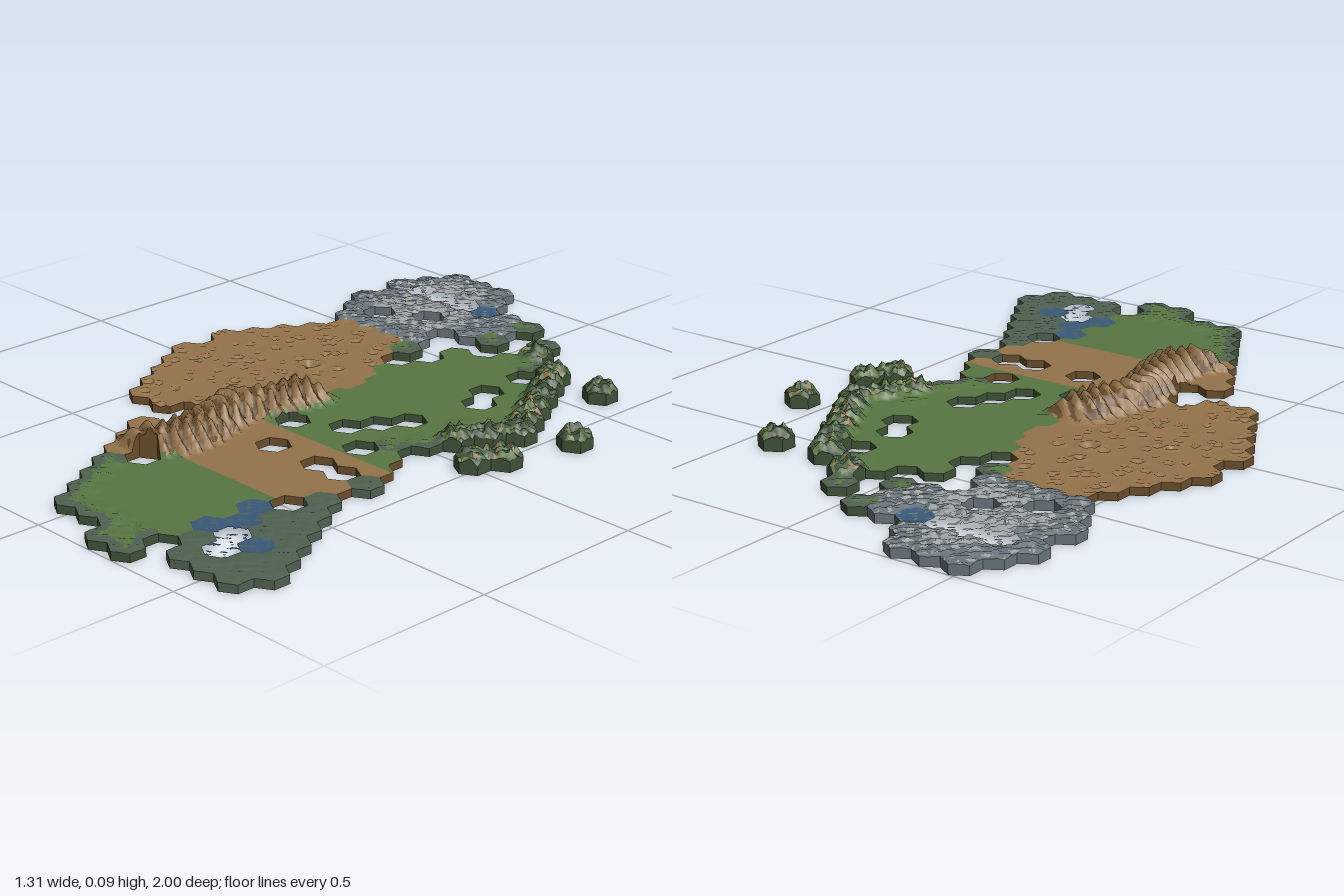
import * as THREE from 'three';
import { mergeVertices } from 'three/addons/utils/BufferGeometryUtils.js';

// Tile map: g grass, b earth, c cliff, h hill, r grassy rim, k marsh,
// m mountain, d mountain foot, w water, s broken tile, . empty
const MAP = [
  '.ddd...........',
  '.dmmd..........',
  'dssswdr........',
  '.dmmmdd.r......',
  'dmm.mdr.h......',
  '.d.mm...grh.h..',
  '.dddd.ggg.h....',
  '..bbbr.ggggh...',
  '.bbbb.ggg.gh...',
  '.bbbbbgggg.gh.h',
  'bbbbbbggggggh..',
  'bbbbbbbggggrh..',
  'bbbbbbggg.gh.h.',
  'bbbbbbcgg.gr.h.',
  'bbbbbcgg.gr....',
  '.bbbbcg.gg.b...',
  '.bbbccbbbbbb...',
  '..bb.ccb.b..k..',
  '.....cbbbbbb...',
  '....bccbbbbbk..',
  '....bcbbbbb.k..',
  '.....c.ggggwkk.',
  '.....rgggggwkk.',
  '......rggggwswk',
  '......rggggkskk',
  '.......rrrr.kkk',
  '.........rr....',
];
const R = 2 / 41, W = R * Math.sqrt(3), N = 6;
const rowX = (r) => (r % 2 ? -7.25 : -6.75) * W;
const centre = (r, c) => [rowX(r) + c * W, (r - 13) * 1.5 * R];
const tileAt = (x, z) => {
  const r = Math.round(z / (1.5 * R)) + 13;
  return MAP[r]?.[Math.round((x - rowX(r)) / W)] ?? '.';
};

const COLOURS = {
  grass: 0x587642, moss: 0x3f5238, earth: 0x94744b, umber: 0x6a4e2c,
  stone: 0x9da2a3, slate: 0x69747a, marsh: 0x4f6150, water: 0x38597a,
};

let seed = 7;
const rand = () => (seed = (seed * 16807) % 2147483647) / 2147483647;
// Smooth pseudo-noise in 0..1
const noise = (x, z) => 0.5 + 0.17 * (Math.sin(x * 97 + 3 * Math.sin(z * 41)) +
  Math.sin(z * 113 + 2 * Math.sin(x * 67)) + Math.sin((x + z) * 171 + 1));

// Hills, mountains and craters taken from the tile map
const bumps = [], craters = [{ x: -0.28, z: -0.16, s: 0.045 }], tiles = [];
MAP.forEach((line, r) => [...line].forEach((t, c) => {
  if (t === '.') return;
  const [x, z] = centre(r, c);
  tiles.push({ t, x, z });
  const amp = { h: 0.036, m: 0.014, d: 0.012, r: 0.005, k: 0.004 }[t];
  if (amp) bumps.push({ x, z, amp });
  if (t === 'b' && x < -0.15 && z < 0.3) {
    for (let i = 0; i < 2; i++) {
      craters.push({ x: x + (rand() - 0.5) * 0.07, z: z + (rand() - 0.5) * 0.07, s: 0.016 + rand() * 0.01 });
    }
  }
}));

const RIDGE = [[-0.05, -0.11], [0.1, -0.13], [0.22, -0.17], [0.38, -0.12], [0.48, -0.11], [0.58, -0.16]];
function ridge(x, z) {
  if (z < -0.05 || z > 0.58) return 0;
  const i = Math.max(1, RIDGE.findIndex((p) => p[0] >= z));
  const [a, b] = [RIDGE[i - 1], RIDGE[i]];
  const mid = a[1] + (b[1] - a[1]) * (z - a[0]) / (b[0] - a[0]);
  const d = Math.abs(x - mid + 0.012 * Math.sin(z * 160));
  const ends = Math.min(1, (z + 0.05) / 0.06, (0.6 - z) / 0.05);
  return Math.max(0, Math.min(1, (0.085 - d) / 0.06)) * ends;
}
const groove = (x, z) => Math.sin(z * 150 + 5 * Math.sin(x * 28));

function height(x, z) {
  let y = 0.022;
  for (const b of bumps) {
    const q = 1 - ((x - b.x) ** 2 + (z - b.z) ** 2) / 0.0032;
    if (q > 0) y += b.amp * q * (0.35 + 1.1 * noise(x * 1.5, z * 1.5));
  }
  for (const c of craters) {
    const q = Math.hypot(x - c.x, z - c.z) / c.s;
    if (q < 1) y += c.s * 0.45 * (q < 0.6 ? q * q * 2.4 - 0.6 : 0.264 * (1 - q) / 0.4);
  }
  return Math.max(0.006, y + ridge(x, z) * (0.056 + 0.011 * groove(x, z)));
}

// Distance to the nearest missing neighbour tile
function gapDistance(tile, x, z) {
  let best = 1;
  for (let k = 0; k < 6; k++) {
    const a = k * Math.PI / 3, nx = tile.x + W * Math.cos(a), nz = tile.z + W * Math.sin(a);
    if (tileAt(nx, nz) === '.') best = Math.min(best, Math.hypot(x - nx, z - nz));
  }
  return best;
}

// Ground colour at a point, or null where the broken tiles are open
function ground(tile, x, z) {
  const n = noise(x * 1.4, z * 1.4), { t } = tile;
  const field = x > -0.08 && z > 0.2 && z < 0.515 ? 'earth' : 'grass';
  if (t === 's') return n > 0.72 ? (z < 0 ? 'stone' : 'water') : null;
  if (t === 'w') return n > 0.25 ? 'water' : z < 0 ? 'slate' : 'marsh';
  if (t === 'k') return 'marsh';
  if (t === 'm') return n > 0.36 ? 'stone' : 'slate';
  if (t === 'd') return n > 0.68 ? 'stone' : 'slate';
  if (t === 'h') return n > 0.8 ? 'earth' : n > 0.52 ? 'grass' : 'moss';
  if (t === 'r') return gapDistance(tile, x, z) < 0.072 + 0.02 * (n - 0.5) ? 'marsh' : field;
  if (ridge(x, z) > 0.15 && x < -0.04) return groove(x, z) < -0.35 ? 'umber' : 'earth';
  if (t === 'c') return 'earth';
  return x < -0.08 && t === 'b' ? 'earth' : field;
}
const SKIRT = { b: 'umber', c: 'umber', m: 'slate', d: 'slate', s: 'slate', w: 'marsh', k: 'marsh' };

export function createModel() {
  const group = new THREE.Group();
  const surface = {}, sides = {};
  const add = (store, key, ...pts) => (store[key] ??= []).push(...pts.flat());

  for (const tile of tiles) {
    for (let k = 0; k < 6; k++) {
      const a0 = (k - 0.5) * Math.PI / 3, a1 = (k + 0.5) * Math.PI / 3;
      const at = (i, j) => {
        const x = tile.x + R / N * (i * Math.cos(a0) + j * Math.cos(a1));
        const z = tile.z + R / N * (i * Math.sin(a0) + j * Math.sin(a1));
        return [x, height(x, z), z];
      };
      const face = (p, q, s) => {
        const colour = ground(tile, (p[0] + q[0] + s[0]) / 3, (p[2] + q[2] + s[2]) / 3);
        if (colour) add(surface, colour, p, q, s);
      };
      // Tile top, one of six sectors
      for (let i = 0; i < N; i++) {
        for (let j = 0; i + j < N; j++) {
          face(at(i, j), at(i, j + 1), at(i + 1, j));
          if (i + j < N - 1) face(at(i + 1, j), at(i, j + 1), at(i + 1, j + 1));
        }
      }
      // Side wall where the neighbour is missing
      const m = k * Math.PI / 3;
      if (tile.t === 's' || tileAt(tile.x + W * Math.cos(m), tile.z + W * Math.sin(m)) !== '.') continue;
      for (let i = 0; i < N; i++) {
        const p = at(N - i, i), q = at(N - i - 1, i + 1);
        const p0 = [p[0], 0, p[2]], q0 = [q[0], 0, q[2]];
        add(sides, SKIRT[tile.t] ?? 'moss', p, q, p0, q, q0, p0);
      }
    }
  }

  for (const [name, color] of Object.entries(COLOURS)) {
    const material = new THREE.MeshStandardMaterial({ color, side: THREE.DoubleSide });
    material.name = name;
    for (const [store, part] of [[surface, 'Ground'], [sides, 'Edge']]) {
      if (!store[name]) continue;
      let geometry = new THREE.BufferGeometry();
      geometry.setAttribute('position', new THREE.Float32BufferAttribute(store[name], 3));
      if (part === 'Ground') geometry = mergeVertices(geometry, 1e-4);
      geometry.computeVertexNormals();
      const mesh = new THREE.Mesh(geometry, material);
      mesh.name = name + part;
      group.add(mesh);
    }
  }
  return group;
}
